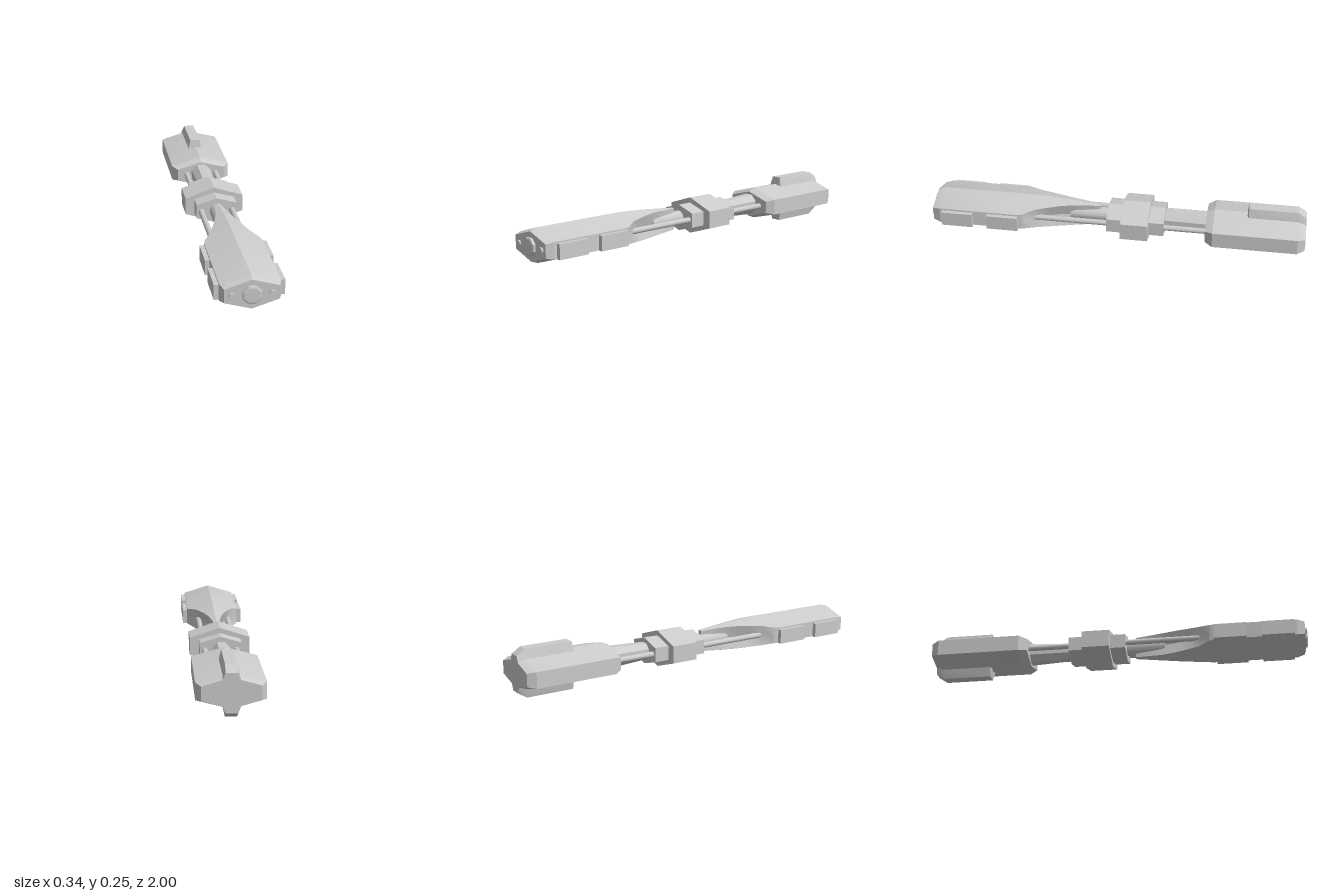
import * as THREE from 'three';
import { toCreasedNormals } from 'three/addons/utils/BufferGeometryUtils.js';

const MID = 0.125; // height of the long axis

// Skins matching cross-sections (counter-clockwise seen from +z), ordered by rising z.
function loft(sections) {
  const pos = [];
  const n = sections[0].pts.length;
  const v = (s, i) => [s.pts[i % n][0], s.pts[i % n][1], s.z];
  const tri = (a, b, c) => pos.push(...a, ...b, ...c);
  for (let k = 0; k + 1 < sections.length; k++) {
    const a = sections[k], b = sections[k + 1];
    for (let i = 0; i < n; i++) {
      tri(v(a, i), v(a, i + 1), v(b, i + 1));
      tri(v(a, i), v(b, i + 1), v(b, i));
    }
  }
  const first = sections[0], last = sections[sections.length - 1];
  const mid = s => [0, s.pts.reduce((t, p) => t + p[1], 0) / n, s.z];
  for (let i = 0; i < n; i++) {
    tri(mid(first), v(first, i + 1), v(first, i));
    tri(mid(last), v(last, i), v(last, i + 1));
  }
  const g = new THREE.BufferGeometry();
  g.setAttribute('position', new THREE.Float32BufferAttribute(pos, 3));
  return toCreasedNormals(g, 0.35);
}

// Wide hexagon: half width w, ridge height h, shoulder height s, waist width m.
const hex = (z, w, h, s, m = w) => ({
  z,
  pts: [[m, 0], [w, s], [0, h], [-w, s], [-m, 0], [-w, -s], [0, -h], [w, -s]],
});

export function createModel() {
  const group = new THREE.Group();
  const body = new THREE.Group();
  body.position.y = MID;
  group.add(body);
  const mat = new THREE.MeshStandardMaterial({ color: 0xcccccc });
  const flat = new THREE.MeshStandardMaterial({ color: 0xcccccc, flatShading: true });

  const add = (name, geo, material = mat) => {
    const mesh = new THREE.Mesh(geo, material);
    mesh.name = name;
    body.add(mesh);
    return mesh;
  };
  // Cylinder along z, from z0 (radius r0) to z1 (radius r1)
  const rod = (name, x, z0, z1, r0, r1, sides, material = mat) => {
    const g = new THREE.CylinderGeometry(r1, r0, z1 - z0, sides);
    g.rotateY(Math.PI / sides).rotateX(Math.PI / 2).translate(x, 0, (z0 + z1) / 2);
    return add(name, g, material);
  };

  // Front housing: narrow blade tip flaring into the wide hexagonal block
  add('frontHousing', loft([
    hex(0.09, 0.012, 0.06, 0.057, 0.008),
    hex(0.16, 0.024, 0.067, 0.06, 0.015),
    hex(0.23, 0.036, 0.074, 0.063, 0.022),
    hex(0.30, 0.055, 0.08, 0.063, 0.036),
    hex(0.37, 0.078, 0.085, 0.06, 0.06),
    hex(0.43, 0.1, 0.088, 0.056, 0.09),
    hex(0.49, 0.138, 0.089, 0.045),
    hex(0.515, 0.145, 0.089, 0.043),
    hex(0.945, 0.145, 0.089, 0.043),
    hex(0.985, 0.13, 0.075, 0.035),
  ]));

  // Rear housing with chamfered ends
  add('rearHousing', loft([
    hex(-1, 0.138, 0.074, 0.034),
    hex(-0.96, 0.163, 0.086, 0.042),
    hex(-0.52, 0.163, 0.086, 0.042),
    hex(-0.48, 0.135, 0.07, 0.032),
  ]));

  // Middle collar and its larger ring
  add('collar', loft([hex(-0.26, 0.108, 0.07, 0.038), hex(0.045, 0.108, 0.07, 0.038)]));
  add('collarRing', loft([hex(-0.18, 0.156, 0.098, 0.046), hex(0.035, 0.156, 0.098, 0.046)].map(
    s => ({ ...s, z: s.z > 0 ? -0.035 : s.z }))));

  // Central shafts
  rod('frontShaft', 0, 0.04, 0.25, 0.038, 0.038, 12);
  rod('rearShaft', 0, -0.5, -0.24, 0.06, 0.046, 8, flat);

  // Nose plug
  rod('nosePlug', 0, 0.97, 0.997, 0.048, 0.048, 8, flat);
  rod('nosePlugCap', 0, 0.997, 1, 0.048, 0.039, 8, flat);

  for (const side of [-1, 1]) {
    // Slim side rods
    rod('frontRod', side * 0.083, 0.03, 0.5, 0.015, 0.015, 12);
    rod('rearRod', side * 0.083, -0.5, -0.24, 0.015, 0.015, 12);
    rod('noseStud', side * 0.096, 0.97, 0.994, 0.017, 0.015, 8, flat);
    // Side grip pads
    for (const z of [0.6, 0.847]) {
      const pad = add('sidePad', new THREE.BoxGeometry(0.045, 0.078, 0.168));
      pad.position.set(side * 0.1455, -0.005, z);
    }
    // Upper and lower fins, sloping down at the back
    const fin = (z, top) => ({
      z, pts: [[0.043, 0.06], [0.028, top], [-0.028, top], [-0.043, 0.06]],
    });
    const finMesh = add(side > 0 ? 'upperFin' : 'lowerFin',
      loft([fin(-1, 0.095), fin(-0.955, 0.125), fin(-0.7, 0.125), fin(-0.69, 0.06)]));
    if (side < 0) finMesh.rotation.z = Math.PI;
  }
  return group;
}
